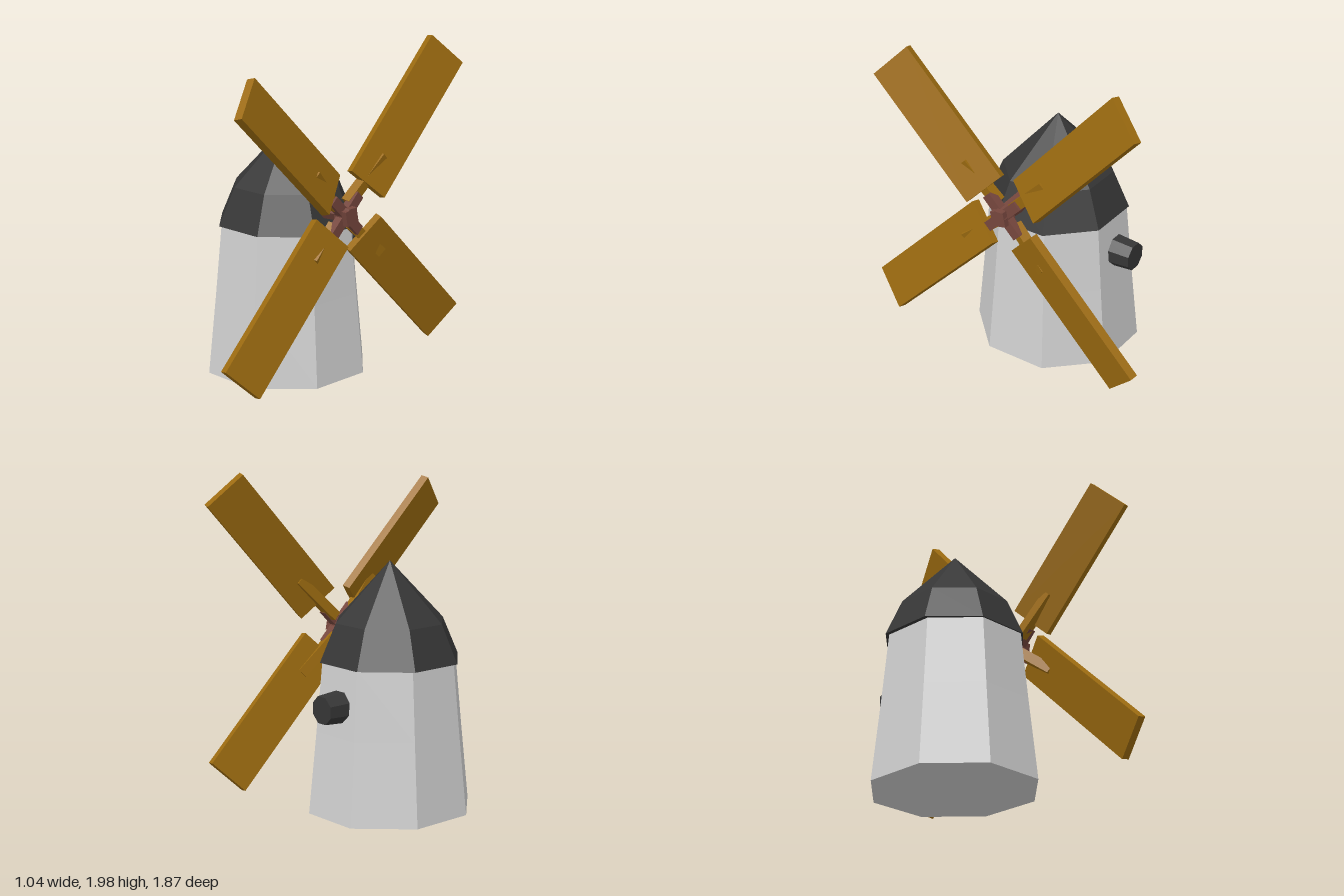
import * as THREE from 'three';

const mat = (name, color) => {
  const m = new THREE.MeshStandardMaterial({ color, flatShading: true });
  m.name = name;
  return m;
};

export function createModel() {
  const stone = mat('pale stone', 0xcfcfcf);
  const slate = mat('dark slate', 0x363636);
  const wood = mat('golden wood', 0x9c6b10);
  const iron = mat('brown hub', 0x75463d);
  const model = new THREE.Group();
  const CX = -0.08, CZ = -0.03;

  const add = (parent, name, geo, material, x = 0, y = 0, z = 0) => {
    const mesh = new THREE.Mesh(geo, material);
    mesh.name = name;
    mesh.position.set(x, y, z);
    parent.add(mesh);
    return mesh;
  };

  // Eight-sided solid from [apothem, y] rings, flat sides facing the axes
  const octagon = (profile) => {
    const k = 1 / Math.cos(Math.PI / 8);
    const pts = profile.map(([r, y]) => new THREE.Vector2(r * k, y));
    return new THREE.LatheGeometry(pts, 8, Math.PI / 8).toNonIndexed();
  };

  // Tapered tower, slightly deeper than wide
  const tower = add(model, 'tower',
    octagon([[0, 0.01], [0.45, 0.01], [0.405, 0.5], [0.37, 0.915], [0, 0.915]]), stone, CX, 0, CZ);
  tower.scale.z = 1.04;

  // Roof with a steep skirt and a pointed cap
  add(model, 'roof',
    octagon([[0, 0.905], [0.395, 0.905], [0.305, 1.13], [0, 1.48]]), slate, CX, 0, CZ);

  // Round window hood on the back wall
  const hood = new THREE.CylinderGeometry(0.1, 0.085, 0.2, 8);
  hood.rotateY(Math.PI / 8).rotateX(Math.PI / 2);
  add(model, 'windowHood', hood, slate, -0.1, 0.68, -0.465);

  // Axle, hub and crossed brackets
  const rotor = new THREE.Group();
  rotor.name = 'rotor';
  rotor.position.set(0.4, 1.03, 0);
  model.add(rotor);
  const axle = new THREE.CylinderGeometry(0.045, 0.06, 0.3, 6).rotateZ(-Math.PI / 2);
  add(rotor, 'axle', axle, iron, -0.07, 0.01, 0);
  add(rotor, 'hub', new THREE.BoxGeometry(0.1, 0.09, 0.09), iron, 0.03).rotation.x = 0.2;
  for (const s of [-1, 1]) {
    add(rotor, 'hubBracket', new THREE.BoxGeometry(0.05, 0.3, 0.06), iron, 0.02).rotation.x = s * Math.PI / 4;
  }

  // Pitched sail board from its inner end [y, z] to its two tip corners [x, y, z]
  const addSail = (inner, cornerA, cornerB) => {
    const a = new THREE.Vector3(...cornerA), b = new THREE.Vector3(...cornerB);
    const tip = a.clone().add(b).multiplyScalar(0.5);
    const root = new THREE.Vector3(0.43, ...inner);
    const d = tip.clone().sub(root);
    const length = d.length();
    d.normalize();
    const w = b.clone().sub(a);
    w.addScaledVector(d, -w.dot(d)).normalize();
    const n = w.clone().cross(d);
    const sail = new THREE.Group();
    sail.name = 'sail';
    sail.position.copy(root);
    sail.quaternion.setFromRotationMatrix(new THREE.Matrix4().makeBasis(w, d, n));
    add(sail, 'sailBoard', new THREE.BoxGeometry(0.27, length, 0.05), wood, 0, length / 2, 0);
    model.add(sail);

    // Spar joining the board to the hub
    const start = new THREE.Vector3(0.39, 1.03, 0).addScaledVector(d, 0.08);
    const end = root.clone().addScaledVector(d, 0.2);
    const spar = add(model, 'sailSpar',
      new THREE.BoxGeometry(0.06, start.distanceTo(end), 0.06), wood);
    spar.position.copy(start).add(end).multiplyScalar(0.5);
    spar.quaternion.setFromUnitVectors(new THREE.Vector3(0, 1, 0), end.sub(start).normalize());
  };
  addSail([1.185, -0.165], [0.41, 1.99, -0.72], [0.49, 1.81, -0.905]);
  addSail([1.17, 0.12], [0.47, 1.71, 0.86], [0.38, 1.885, 0.675]);
  addSail([0.95, 0.125], [0.49, 0.13, 0.745], [0.415, 0.34, 0.93]);
  addSail([0.905, -0.145], [0.48, 0.33, -0.93], [0.405, 0.12, -0.745]);

  return model;
}
